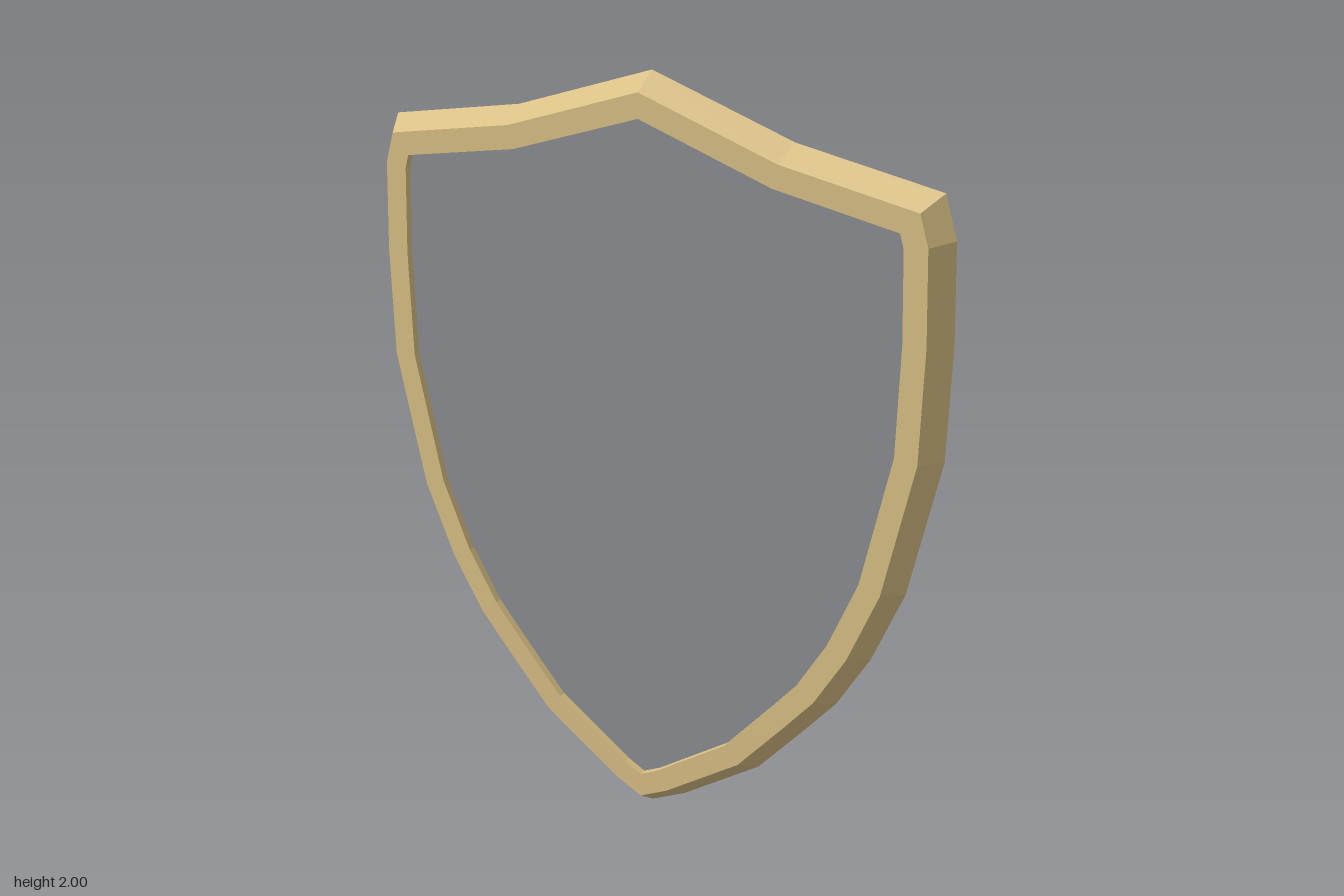
import * as THREE from 'three';

const gold = new THREE.MeshStandardMaterial({ color: 0xd8be84 });
gold.name = 'gold rim';
const steel = new THREE.MeshStandardMaterial({ color: 0x8b8c90 });
steel.name = 'steel panel';
const silver = new THREE.MeshStandardMaterial({ color: 0xd3d3d3 });
silver.name = 'silver handle';

// Left half of the shield outline, clockwise from the top point to the tip
const HALF = [
  [0, 2], [0.385, 1.873], [0.765, 1.806], [0.797, 1.70], [0.805, 1.46], [0.797, 1.165],
  [0.715, 0.80], [0.63, 0.60], [0.54, 0.45], [0.45, 0.345], [0.322, 0.20], [0.10, 0.05], [0, 0],
];
const OUTLINE = [...HALF, ...HALF.slice(1, -1).reverse().map(([x, y]) => [-x, y])]
  .map(([x, y]) => new THREE.Vector2(x, y));

// Mitred inset of the closed outline
function inset(points, distance) {
  const n = points.length;
  const normal = (a, b) => {
    const d = b.clone().sub(a).normalize();
    return new THREE.Vector2(d.y, -d.x);
  };
  return points.map((p, i) => {
    const n1 = normal(points[(i + n - 1) % n], p);
    const n2 = normal(p, points[(i + 1) % n]);
    return p.clone().addScaledVector(n1.clone().add(n2), distance / (1 + n1.dot(n2)));
  });
}

// Flat-faced rim skinned through successive [outline, z] rings
function rimGeometry(rings) {
  const pos = [];
  for (let r = 0; r < rings.length - 1; r++) {
    const [A, za] = rings[r];
    const [B, zb] = rings[r + 1];
    for (let i = 0; i < A.length; i++) {
      const j = (i + 1) % A.length;
      const a = [A[i].x, A[i].y, za], aj = [A[j].x, A[j].y, za];
      const b = [B[i].x, B[i].y, zb], bj = [B[j].x, B[j].y, zb];
      pos.push(...a, ...b, ...bj, ...a, ...bj, ...aj);
    }
  }
  const geo = new THREE.BufferGeometry();
  geo.setAttribute('position', new THREE.Float32BufferAttribute(pos, 3));
  geo.computeVertexNormals();
  return geo;
}

// C-shaped grip, extruded across x, with its feet on the back panel
function handleGeometry(y0, y1, reach, foot) {
  const t = 0.045, R = 0.04, r = 0.015, width = 0.08;
  const s = new THREE.Shape();
  s.moveTo(foot, y0);
  s.lineTo(reach - R, y0);
  s.quadraticCurveTo(reach, y0, reach, y0 + R);
  s.lineTo(reach, y1 - R);
  s.quadraticCurveTo(reach, y1, reach - R, y1);
  s.lineTo(foot, y1);
  s.lineTo(foot, y1 - t);
  s.lineTo(reach - t - r, y1 - t);
  s.quadraticCurveTo(reach - t, y1 - t, reach - t, y1 - t - r);
  s.lineTo(reach - t, y0 + t + r);
  s.quadraticCurveTo(reach - t, y0 + t, reach - t - r, y0 + t);
  s.lineTo(foot, y0 + t);
  s.closePath();
  const geo = new THREE.ExtrudeGeometry(s, { depth: width, bevelEnabled: false, curveSegments: 4 });
  return geo.translate(0, 0, -width / 2).rotateY(Math.PI / 2);
}

export function createModel() {
  const group = new THREE.Group();
  group.name = 'shield';
  const add = (name, geometry, material) => {
    const mesh = new THREE.Mesh(geometry, material);
    mesh.name = name;
    group.add(mesh);
    return mesh;
  };

  const edge = inset(OUTLINE, 0.04);
  const inner = inset(OUTLINE, 0.10);
  const backZ = 0.05, frontZ = 0.09;

  // Rim: back wall, two outer bevels, front lip and its shallow step
  add('rim', rimGeometry([
    [edge, backZ], [edge, -0.022], [OUTLINE, 0.044], [edge, 0.11], [inner, 0.11], [inner, frontZ],
  ]), gold);

  // Panel faces
  add('frontPanel', new THREE.ShapeGeometry(new THREE.Shape(inner)).translate(0, 0, frontZ), steel);
  add('backPanel', new THREE.ShapeGeometry(new THREE.Shape(edge)).rotateY(Math.PI)
    .translate(0, 0, backZ), steel);

  // Arm and hand grips on the back
  add('largeHandle', handleGeometry(0.975, 1.515, 0.11, -backZ), silver).position.x = -0.28;
  add('smallHandle', handleGeometry(1.02, 1.465, 0.063, -backZ), silver).position.x = 0.26;

  return group;
}
